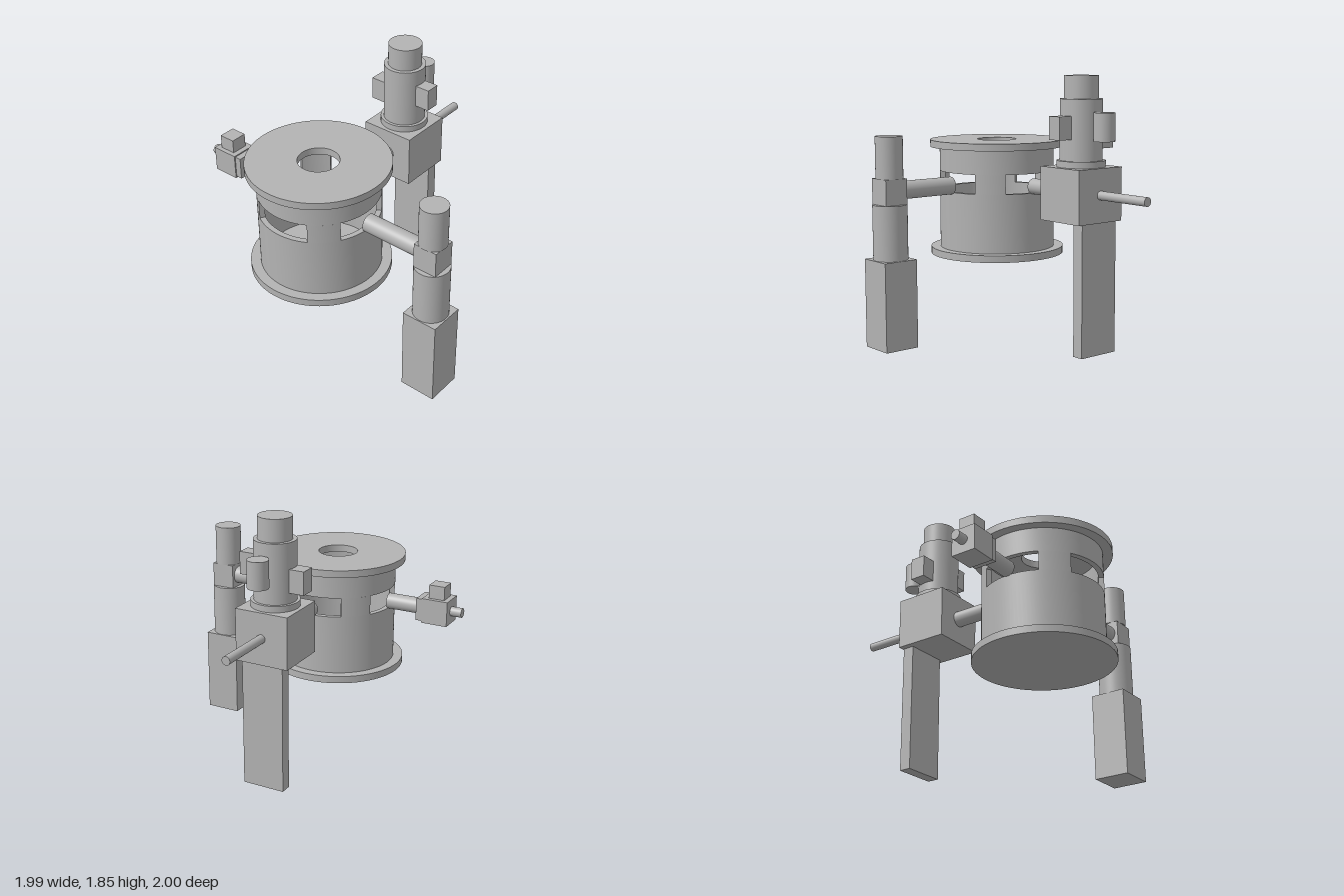
import * as THREE from 'three';
import { toCreasedNormals } from 'three/addons/utils/BufferGeometryUtils.js';

export function createModel() {
  const model = new THREE.Group();
  model.name = 'vacuumChamber';
  const grey = new THREE.MeshStandardMaterial({ color: 0xb3b3b3 });
  grey.name = 'grey metal';

  const group = (name) => {
    const g = new THREE.Group();
    g.name = name;
    model.add(g);
    return g;
  };
  const add = (parent, name, geometry) => {
    const mesh = new THREE.Mesh(geometry, grey);
    mesh.name = name;
    parent.add(mesh);
    return mesh;
  };
  // Box given by its limits on each axis
  const box = (parent, name, [x0, x1], [y0, y1], [z0, z1]) =>
    add(parent, name, new THREE.BoxGeometry(x1 - x0, y1 - y0, z1 - z0))
      .position.set((x0 + x1) / 2, (y0 + y1) / 2, (z0 + z1) / 2);
  // Cylinder between two points
  const rod = (parent, name, r, from, to) => {
    const a = new THREE.Vector3(...from), b = new THREE.Vector3(...to);
    const mesh = add(parent, name, new THREE.CylinderGeometry(r, r, a.distanceTo(b), 64));
    mesh.position.copy(a).add(b).multiplyScalar(0.5);
    mesh.quaternion.setFromUnitVectors(new THREE.Vector3(0, 1, 0), b.sub(a).normalize());
  };
  // Upright extrusion of a plan shape
  const slab = (parent, name, shape, y0, y1, segments = 48) => {
    const geo = new THREE.ExtrudeGeometry(shape, { depth: y1 - y0, bevelEnabled: false, curveSegments: segments });
    geo.rotateX(-Math.PI / 2);
    add(parent, name, toCreasedNormals(geo, 0.6)).position.y = y0;
  };
  const ring = (outer, inner) => {
    const s = new THREE.Shape().absarc(0, 0, outer, 0, Math.PI * 2, false);
    s.holes.push(new THREE.Path().absarc(0, 0, inner, 0, Math.PI * 2, true));
    return s;
  };

  const cx = -0.52, cz = -0.047, axisY = 1.073;

  // Hollow drum with four windows, closed floor and a hole in the lid
  const drum = group('drum');
  drum.position.set(cx, 0, cz);
  const R = 0.41, r = 0.373;
  rod(drum, 'bottomFlange', 0.477, [0, 0.56, 0], [0, 0.61, 0]);
  slab(drum, 'lowerWall', ring(R, r), 0.61, 1.025);
  for (let i = 0; i < 4; i++) {
    const a = i * Math.PI / 2 + Math.PI / 6, b = a + Math.PI / 6;
    const pillar = new THREE.Shape().absarc(0, 0, R, a, b, false);
    pillar.absarc(0, 0, r, b, a, true);
    slab(drum, 'windowPillar', pillar, 1.025, 1.16, 10);
  }
  slab(drum, 'upperWall', ring(R, r), 1.16, 1.33);
  slab(drum, 'lid', ring(0.477, 0.138), 1.33, 1.38);

  // Front pump on its pedestal
  const pump = group('frontPump'), pz = 0.873;
  box(pump, 'pedestal', [-0.645, -0.395], [0, 0.61], [0.747, 1]);
  rod(pump, 'pumpBody', 0.118, [cx, 0.61, pz], [cx, 0.985, pz]);
  box(pump, 'pumpBlock', [cx - 0.084, cx + 0.084], [0.985, 1.16], [pz - 0.084, pz + 0.084]);
  rod(pump, 'pumpHead', 0.093, [cx, 1.16, pz], [cx, 1.445, pz]);
  rod(pump, 'pumpPipe', 0.062, [cx, axisY, 0.365], [cx, axisY, 0.8]);

  // Small valve at the back
  const valve = group('backValve');
  rod(valve, 'valvePipe', 0.055, [cx, axisY, -0.453], [cx, axisY, -0.69]);
  box(valve, 'valvePlate', [-0.6, -0.44], [0.995, 1.152], [-0.735, -0.69]);
  box(valve, 'valveBlock', [-0.608, -0.432], [0.985, 1.16], [-0.92, -0.735]);
  box(valve, 'valveTop', [-0.577, -0.463], [1.16, 1.255], [-0.885, -0.772]);
  rod(valve, 'valveTip', 0.033, [cx, axisY, -0.92], [cx, axisY, -1]);

  // Tall instrument on the left side
  const tower = group('instrumentTower'), tx = 0.376;
  const stack = (name, rad, y0, y1) => rod(tower, name, rad, [tx, y0, cz], [tx, y1, cz]);
  box(tower, 'leg', [0.473, 0.555], [0, 0.89], [-0.196, 0.105]);
  box(tower, 'towerBlock', [0.187, 0.565], [0.89, 1.25], [-0.238, 0.145]);
  stack('collar', 0.163, 1.25, 1.293);
  stack('towerBody', 0.142, 1.293, 1.698);
  stack('towerCap', 0.114, 1.698, 1.85);
  box(tower, 'frontModule', [0.325, 0.425], [1.435, 1.588], [0.07, 0.19]);
  box(tower, 'backModule', [0.32, 0.432], [1.365, 1.523], [-0.285, -0.17]);
  rod(tower, 'sideCanister', 0.071, [0.595, 1.428, cz], [0.595, 1.615, cz]);
  rod(tower, 'towerPipe', 0.055, [-0.11, axisY, cz], [0.19, axisY, cz]);
  rod(tower, 'outletRod', 0.03, [0.56, axisY, cz], [0.99, axisY, cz]);

  return model;
}
